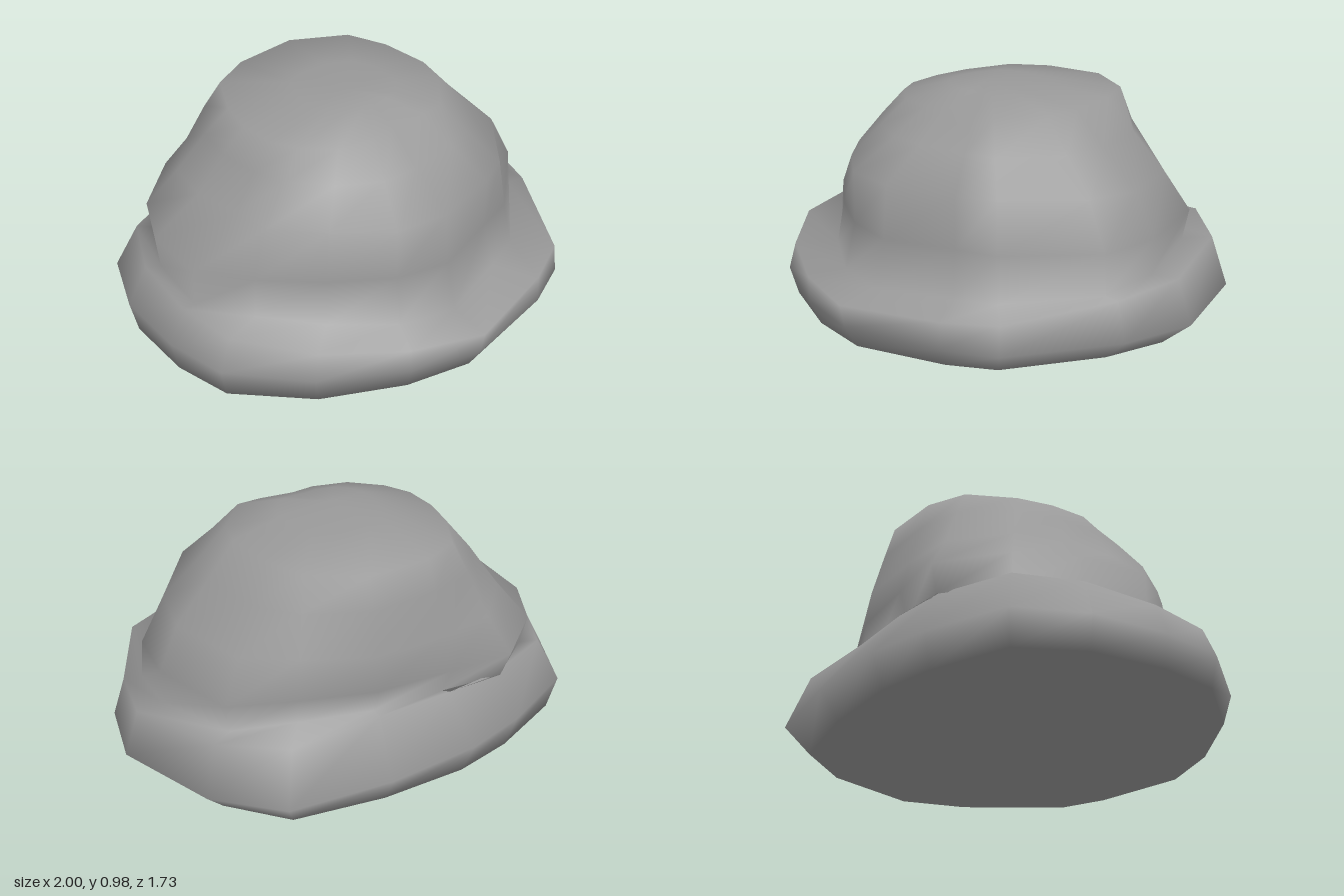
import * as THREE from 'three';

// Directions of the corners in degrees, from the left side (+x) round by the front, right and back.
const ANGLES = [-6, 13, 46, 62, 93, 115, 141, 164, 180, 199, 216, 237, 255, 282, 308, 327]
  .map(THREE.MathUtils.degToRad);

// Outlines that the rings are made from: one radius per corner.
const WIDEST = [1.005, 0.93, 0.89, 0.845, 0.84, 0.83, 0.89, 0.99, 1, 1.034, 1.05, 0.926, 0.88, 0.888, 1.03, 1.03];
const LIP = [0.94, 0.88, 0.88, 0.84, 0.862, 0.83, 0.86, 0.93, 0.93, 0.95, 0.95, 0.82, 0.74, 0.73, 0.93, 0.96];
const SIDES = [0.82, 0.79, 0.65, 0.59, 0.62, 0.62, 0.64, 0.74, 0.87, 0.9, 0.9, 0.88, 0.745, 0.71, 0.74, 0.86];
const SHOULDER = [0.73, 0.69, 0.62, 0.59, 0.6, 0.62, 0.6, 0.65, 0.64, 0.7, 0.76, 0.77, 0.7, 0.69, 0.69, 0.75];
const CROWN = [0.44, 0.41, 0.36, 0.3, 0.25, 0.29, 0.36, 0.42, 0.46, 0.49, 0.53, 0.6, 0.6, 0.6, 0.57, 0.5];

// A ring lies in a plane of height y, rising by lean along x and by tilt along z.
function ring(y, lean, tilt, radius) {
  return ANGLES.map((a, i) => {
    const r = radius(i, a), x = Math.cos(a) * r, z = Math.sin(a) * r;
    return new THREE.Vector3(x, y + lean * x + tilt * z, z);
  });
}

// Skin a stack of rings from bottom to top, closed by a centre point at both ends.
function loft(rings, bottom, top) {
  const n = ANGLES.length, last = (rings.length - 1) * n, index = [];
  const bottomCentre = last + n, topCentre = last + n + 1;
  for (let i = 0; i < n; i++) {
    const next = (i + 1) % n;
    for (let start = 0; start < last; start += n) {
      const a = start + i, b = start + next;
      index.push(a, a + n, b, b, a + n, b + n);
    }
    index.push(bottomCentre, i, next);
    index.push(last + i, topCentre, last + next);
  }
  const geometry = new THREE.BufferGeometry().setFromPoints([...rings.flat(), bottom, top]);
  geometry.setIndex(index);
  geometry.computeVertexNormals();
  return geometry;
}

export function createModel() {
  const group = new THREE.Group();
  group.name = 'rock';

  const rings = [
    // Flat foot, drawn in most on the left
    ring(0, 0, 0, (i, a) => WIDEST[i] * (0.92 - 0.05 * Math.cos(a))),
    // Widest part of the rim
    ring(0.12, -0.015, -0.02, (i) => WIDEST[i]),
    // Lip of the rim, low in front and high behind
    ring(0.285, 0, -0.093, (i) => LIP[i]),
    // Crease where the boulder rises from the rim, further forward than the sides
    ring(0.28, 0, -0.085, (i, a) => SIDES[i] + 0.05 * Math.sin(a)),
    // Bulging sides
    ring(0.44, 0, -0.02, (i) => SIDES[i]),
    // Shoulder
    ring(0.63, 0, 0.04, (i) => SHOULDER[i]),
    // Upper slopes, between shoulder and crown
    ring(0.785, 0, 0, (i) => SHOULDER[i] * 0.45 + CROWN[i] * 0.55),
    // Edge of the crown
    ring(0.91, 0.03, -0.02, (i) => CROWN[i]),
    // Crown
    ring(0.96, 0, 0, (i) => CROWN[i] * 0.47),
  ];
  const geometry = loft(rings, new THREE.Vector3(), new THREE.Vector3(-0.04, 0.975, -0.03));

  const boulder = new THREE.Mesh(geometry, new THREE.MeshStandardMaterial({ color: 0x999999 }));
  boulder.name = 'boulder';
  group.add(boulder);
  return group;
}
